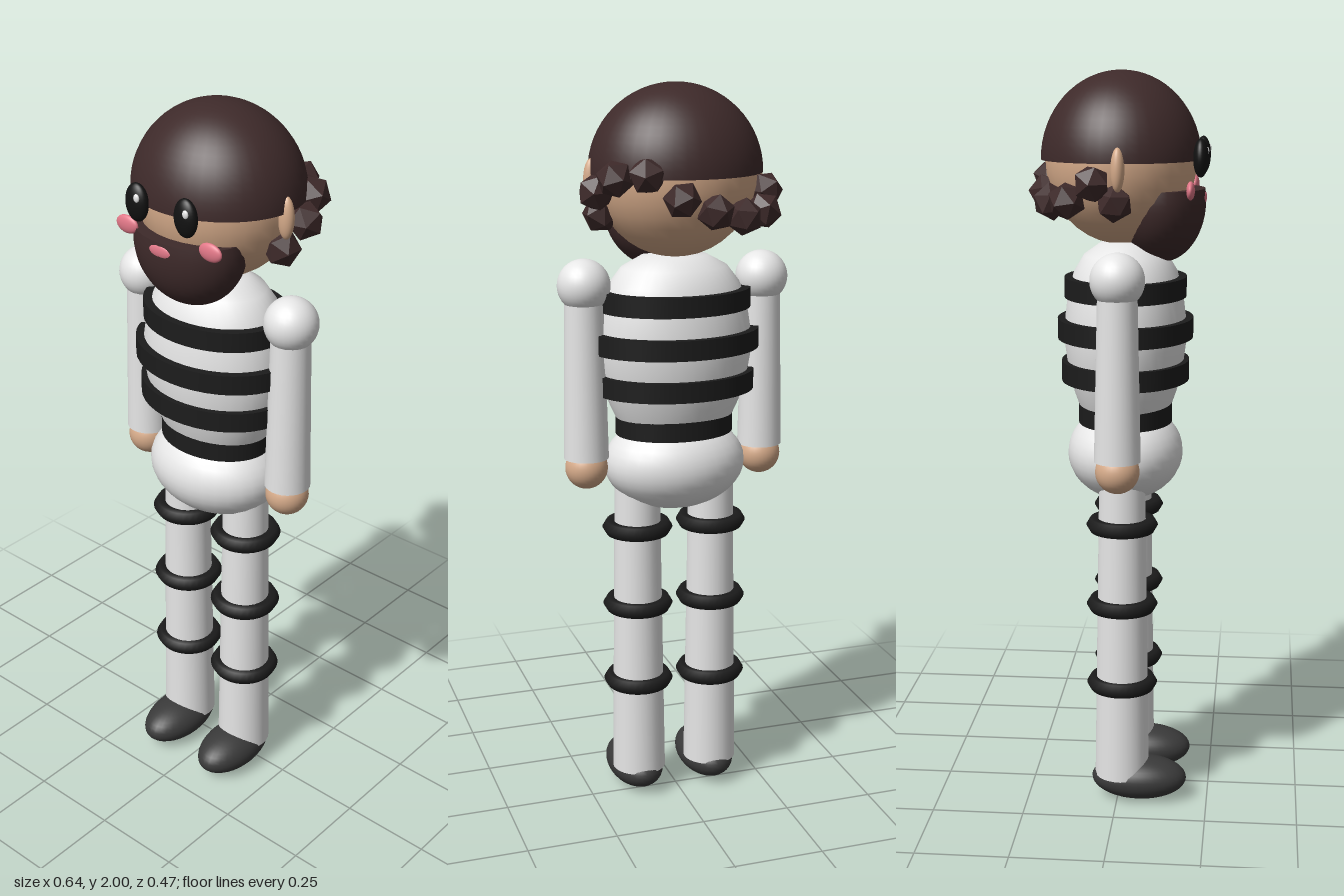
import * as THREE from 'three';

const mat = (name, color, side = THREE.FrontSide) => {
  const m = new THREE.MeshStandardMaterial({ color, side });
  m.name = name;
  return m;
};

export function createModel() {
  const white = mat('white cloth', 0xe6e6e6);
  const black = mat('black stripe', 0x1c1c1c);
  const hair = mat('dark brown hair', 0x3e2a2a, THREE.DoubleSide);
  const tuftHair = hair.clone();
  tuftHair.name = 'dark brown curls';
  tuftHair.flatShading = true;
  const skin = mat('skin', 0xd6ab8a);
  const pink = mat('pink', 0xe27888);
  const shoe = mat('dark grey shoe', 0x3a3a3a);
  const eyeBlack = mat('eye black', 0x121212);
  const shine = mat('eye shine', 0xffffff);

  const model = new THREE.Group();
  model.name = 'figure';
  const Z = 0.012; // body sits slightly forward

  const add = (name, geo, material, x, y, z) => {
    const m = new THREE.Mesh(geo, material);
    m.name = name;
    m.position.set(x, y, z);
    model.add(m);
    return m;
  };
  const ball = (name, material, x, y, z, rx, ry = rx, rz = rx) =>
    add(name, new THREE.SphereGeometry(1, 32, 20).scale(rx, ry, rz), material, x, y, z);

  // Head and hair cap
  ball('head', skin, 0, 1.77, 0, 0.217, 0.222, 0.2);
  add('hairCap', new THREE.SphereGeometry(1, 40, 16, 0, Math.PI * 2, 0, Math.PI / 2)
    .scale(0.232, 0.23, 0.212), hair, 0, 1.77, 0);

  // Beard: lower part of an ellipsoid with a flat top
  const beard = [];
  for (let i = 0; i <= 16; i++) {
    const a = -Math.PI / 2 + (i / 16) * (Math.PI / 2 + 0.2);
    beard.push(new THREE.Vector2(Math.max(0, Math.cos(a)), Math.sin(a)));
  }
  add('beard', new THREE.LatheGeometry(beard, 32).scale(0.162, 0.162, 0.115), hair, 0, 1.663, 0.11);
  const top = new THREE.CircleGeometry(Math.cos(0.2), 32).rotateX(-Math.PI / 2).scale(0.162, 1, 0.115);
  add('beardTop', top, hair, 0, 1.663 + 0.162 * Math.sin(0.2), 0.11);

  // Curls around the back of the head: x, y, z
  const curls = [
    [0.205, 1.668, 0.0], [0.232, 1.73, -0.055], [0.2, 1.77, -0.122], [0.13, 1.78, -0.17], [0.045, 1.72, -0.192],
    [-0.045, 1.685, -0.192], [-0.13, 1.668, -0.17], [-0.2, 1.675, -0.122], [-0.23, 1.72, -0.055], [-0.205, 1.67, 0.0],
  ];
  curls.forEach(([x, y, z], i) => {
    add('curl', new THREE.IcosahedronGeometry(0.05, 0), tuftHair, x, y, z).rotation.set(i * 0.7, i * 1.1, i * 0.4);
  });

  // Face
  ball('mouth', pink, 0, 1.672, 0.219, 0.037, 0.018, 0.008);
  for (const s of [-1, 1]) {
    ball('eye', eyeBlack, s * 0.08, 1.778, 0.213, 0.035, 0.05, 0.02);
    ball('eyeShine', shine, s * 0.08 + 0.013, 1.795, 0.229, 0.009, 0.011, 0.005);
    ball('cheek', pink, s * 0.138, 1.698, 0.19, 0.036, 0.024, 0.011);
    ball('ear', skin, s * 0.225, 1.755, 0.01, 0.022, 0.056, 0.018);
  }

  // Torso
  const profile = [[0.14, 1.07], [0.157, 1.1], [0.18, 1.15], [0.2, 1.21], [0.212, 1.28], [0.213, 1.34],
    [0.2, 1.42], [0.18, 1.475], [0.145, 1.52], [0.09, 1.55], [0, 1.562]]
    .map(([r, y]) => new THREE.Vector2(r, y));
  add('torso', new THREE.LatheGeometry(profile, 40).scale(1, 1, 0.77), white, 0, 0, Z);
  ball('hips', white, 0, 0.98, Z, 0.197, 0.13, 0.157);

  // Torso stripes: height and half width
  for (const [y, r] of [[1.435, 0.21], [1.325, 0.234], [1.21, 0.221], [1.092, 0.163]]) {
    add('torsoStripe', new THREE.CylinderGeometry(r, r, 0.054, 40).scale(1, 1, 0.78), black, 0, y, Z);
  }

  // Arms and legs
  for (const s of [-1, 1]) {
    const ax = s * 0.25, lx = s * 0.107;
    ball('shoulder', white, ax, 1.48, Z, 0.071);
    add('arm', new THREE.CylinderGeometry(0.051, 0.061, 0.47, 28), white, ax, 1.245, Z);
    ball('hand', skin, ax, 0.982, Z, 0.058);

    add('leg', new THREE.CylinderGeometry(0.062, 0.075, 0.88, 28), white, lx, 0.515, Z);
    for (const y of [0.8, 0.575, 0.347]) {
      add('legStripe', new THREE.TorusGeometry(0.076, 0.021, 6, 32).rotateX(Math.PI / 2), black, lx, y, Z);
    }
    ball('shoe', shoe, lx, 0.064, 0.06, 0.077, 0.06, 0.132);
  }
  return model;
}
